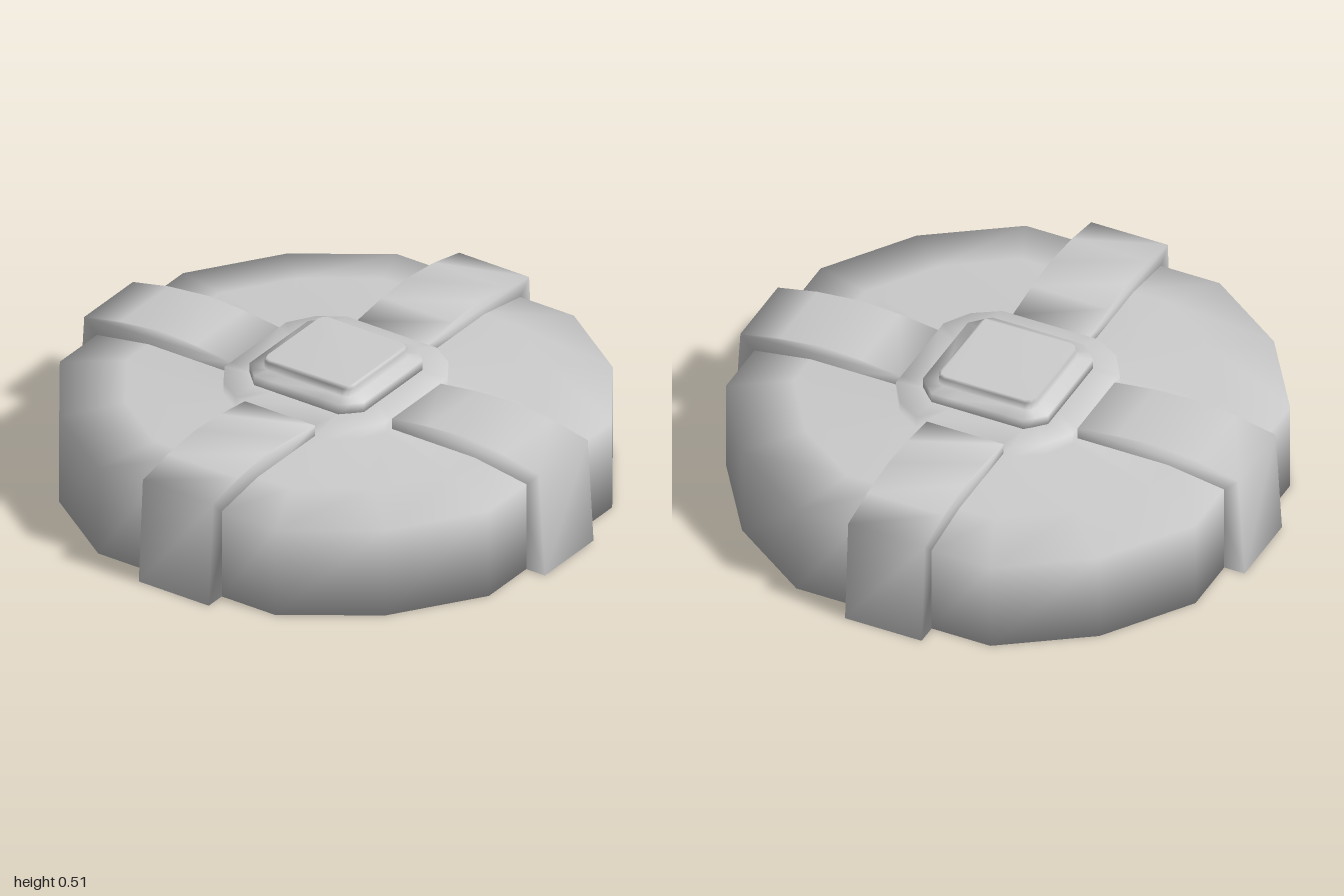
import * as THREE from 'three';
import { mergeVertices } from 'three/addons/utils/BufferGeometryUtils.js';

const material = new THREE.MeshStandardMaterial({ color: 0xcccccc });

// Mirrors a quarter outline (from +x towards +z) around all four quadrants
function fullOutline(quarter) {
  const out = [];
  for (let q = 0; q < 4; q++) {
    for (const [x, z] of quarter) {
      out.push([[x, z], [-z, x], [-x, -z], [z, -x]][q]);
    }
  }
  return out;
}

// Welded, smooth skin through stacked outlines, closed below by a centre point
function loft(rings) {
  const n = rings[0].outline.length;
  const positions = [];
  const index = [];
  for (const { outline, y, scale = 1 } of rings) {
    for (const [x, z] of outline) positions.push(x * scale, y, z * scale);
  }
  for (let r = 0; r < rings.length - 1; r++) {
    for (let i = 0; i < n; i++) {
      const a = r * n + i, b = r * n + (i + 1) % n;
      index.push(a, a + n, b, b, a + n, b + n);
    }
  }
  const centre = positions.length / 3;
  positions.push(0, rings[0].y, 0);
  const top = (rings.length - 1) * n;
  for (let i = 0; i < n; i++) index.push(centre, i, (i + 1) % n);
  // the top cap fans out from one corner
  for (let i = 1; i < n - 1; i++) {
    index.push(top + 2, top + (2 + i + 1) % n, top + (2 + i) % n);
  }
  const geometry = new THREE.BufferGeometry();
  geometry.setAttribute('position', new THREE.Float32BufferAttribute(positions, 3));
  geometry.setIndex(index);
  geometry.computeVertexNormals();
  return geometry;
}

// Arm: side profile (radius, height) extruded across its width, with soft normals
function armGeometry() {
  const profile = [
    [0.88, 0], [1, 0], [0.975, 0.4], [0.82, 0.433], [0.65, 0.45],
    [0.5, 0.442], [0.345, 0.422], [0.3, 0.42], [0.3, 0.36], [0.88, 0.3],
  ];
  const shape = new THREE.Shape(profile.map(([r, y]) => new THREE.Vector2(r, y)));
  let geometry = new THREE.ExtrudeGeometry(shape, { depth: 0.3, bevelEnabled: false });
  geometry.translate(0, 0, -0.15);
  geometry.deleteAttribute('normal');
  geometry.deleteAttribute('uv');
  geometry = mergeVertices(geometry);
  geometry.computeVertexNormals();
  return geometry;
}

export function createModel() {
  const group = new THREE.Group();
  const add = (name, geometry) => {
    const mesh = new THREE.Mesh(geometry, material);
    mesh.name = name;
    group.add(mesh);
    return mesh;
  };

  const rim = fullOutline([[0.92, 0.15], [0.92, 0.38], [0.7, 0.7], [0.38, 0.92], [0.15, 0.92]]);
  const hub = fullOutline([[0.345, 0.15], [0.345, 0.19], [0.285, 0.285], [0.19, 0.345], [0.15, 0.345]]);
  const step = fullOutline([[0.245, 0.1], [0.245, 0.18], [0.213, 0.213], [0.18, 0.245], [0.1, 0.245]]);
  const cap = fullOutline([[0.19, 0.1], [0.19, 0.16], [0.181, 0.181], [0.16, 0.19], [0.1, 0.19]]);

  // Disc and raised hub share one soft skin
  add('body', loft([
    { outline: rim, y: 0 },
    { outline: rim, y: 0.345 },
    { outline: rim, y: 0.38, scale: 0.76 },
    { outline: hub, y: 0.38 },
    { outline: hub, y: 0.425 },
    { outline: step, y: 0.43 },
  ]));

  // Stepped knob in the middle
  add('knob', loft([
    { outline: step, y: 0.42 },
    { outline: step, y: 0.468 },
    { outline: cap, y: 0.47 },
    { outline: cap, y: 0.5 },
    { outline: cap, y: 0.51, scale: 0.97 },
  ]));

  // Four arms over the rim
  const arm = armGeometry();
  ['leftArm', 'backArm', 'rightArm', 'frontArm'].forEach((name, i) => {
    add(name, arm).rotation.y = i * Math.PI / 2;
  });

  return group;
}
